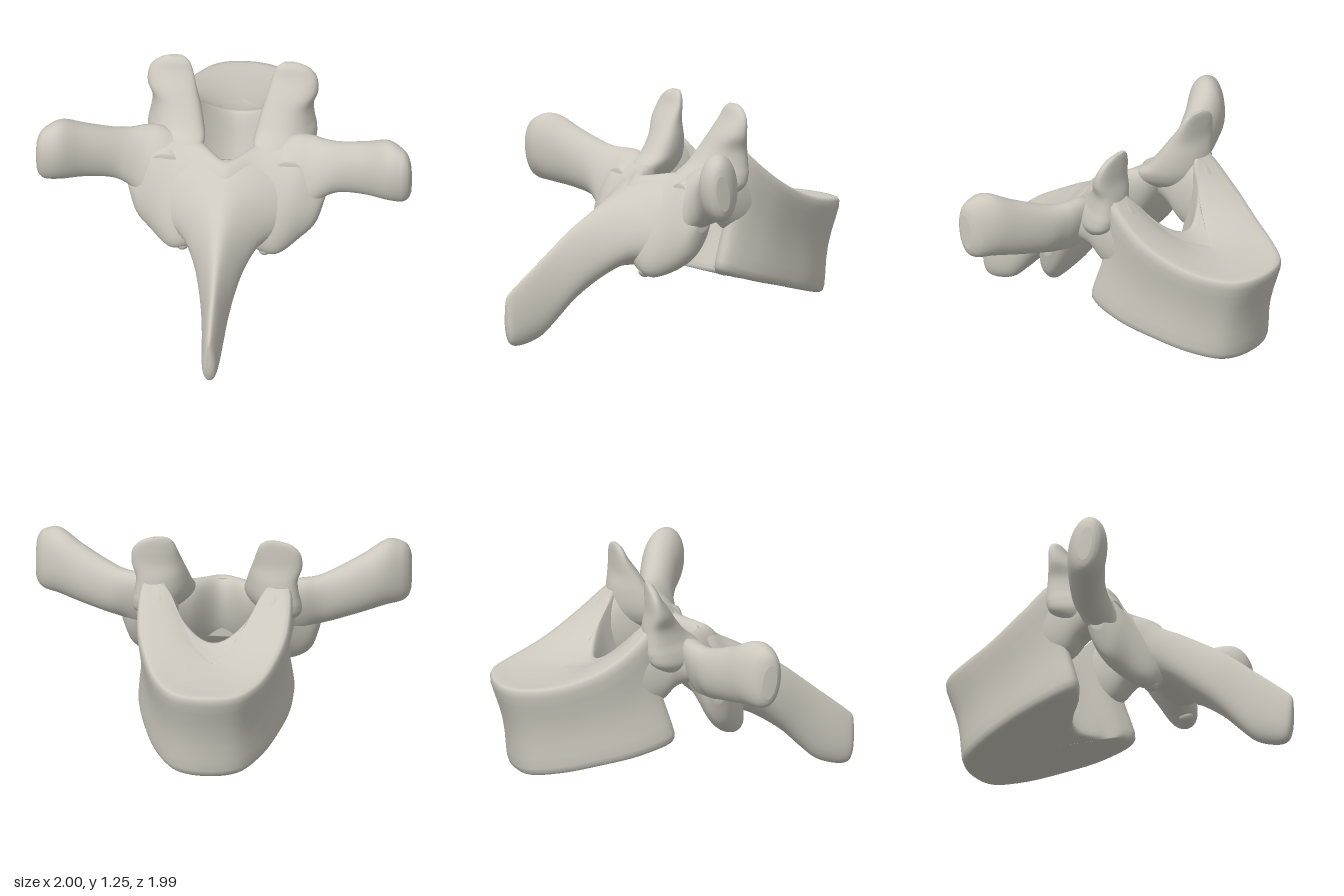
import * as THREE from 'three';

const bone = new THREE.MeshStandardMaterial({ color: 0xccc8be });
bone.name = 'bone';

// Closed skin over a list of point rings, with a centre point at each end
function skin(name, rings) {
  const n = rings[0].length, pos = [], idx = [];
  rings.forEach(r => r.forEach(p => pos.push(p.x, p.y, p.z)));
  for (let i = 0; i < rings.length - 1; i++) {
    for (let j = 0; j < n; j++) {
      const a = i * n + j, b = i * n + (j + 1) % n;
      idx.push(a, b, a + n, b, b + n, a + n);
    }
  }
  [0, rings.length - 1].forEach((i, end) => {
    const c = rings[i].reduce((s, p) => s.add(p), new THREE.Vector3()).divideScalar(n);
    const k = pos.length / 3;
    pos.push(c.x, c.y, c.z);
    for (let j = 0; j < n; j++) {
      const a = i * n + j, b = i * n + (j + 1) % n;
      if (end) idx.push(a, b, k); else idx.push(b, a, k);
    }
  });
  // Turn the faces outward whichever way the rings run
  const P = i => new THREE.Vector3(pos[i * 3], pos[i * 3 + 1], pos[i * 3 + 2]);
  let volume = 0;
  for (let i = 0; i < idx.length; i += 3) volume += P(idx[i]).dot(P(idx[i + 1]).cross(P(idx[i + 2])));
  if (volume < 0) idx.reverse();
  const g = new THREE.BufferGeometry();
  g.setAttribute('position', new THREE.Float32BufferAttribute(pos, 3));
  g.setIndex(idx);
  g.computeVertexNormals();
  const mesh = new THREE.Mesh(g, bone);
  mesh.name = name;
  return mesh;
}

// Smooth interpolation through rows of numbers
function refine(rows, steps = 7) {
  const out = [], at = i => rows[Math.min(Math.max(i, 0), rows.length - 1)];
  for (let i = 0; i < rows.length - 1; i++) {
    for (let s = 0; s < steps; s++) {
      const t = s / steps, t2 = t * t, t3 = t2 * t;
      out.push(rows[i].map((b, k) => {
        const a = at(i - 1)[k], c = at(i + 1)[k], d = at(i + 2)[k];
        return b + 0.5 * ((c - a) * t + (2 * a - 5 * b + 4 * c - d) * t2 + (3 * b - a - 3 * c + d) * t3);
      }));
    }
  }
  out.push(rows[rows.length - 1]);
  return out;
}

// Loft of rounded sections; frame(row) gives [centre, half axis u, half axis v]
function loft(name, rows, frame, { side = 1, power = 0.85, taper = 0 } = {}) {
  const rings = refine(rows).map(row => {
    const [c, u, v] = frame(row).map(a => new THREE.Vector3(...a));
    return Array.from({ length: 36 }, (_, j) => {
      const a = j / 36 * Math.PI * 2;
      const round = q => Math.sign(q) * Math.pow(Math.abs(q), power);
      const h = round(Math.sin(a)), w = round(Math.cos(a)) * (1 - taper * h);
      const p = c.clone().addScaledVector(u, w).addScaledVector(v, h);
      p.x *= side;
      return p;
    });
  });
  return skin(name, rings);
}

// Drum of the bone: a notched oval outline, leaning and waisted, rising to the pedicles
function vertebralBody() {
  const half = [[0, -1], [0.17, -0.96], [0.28, -0.82], [0.36, -0.62], [0.41, -0.42],
    [0.39, -0.23], [0.28, -0.24], [0.17, -0.36], [0, -0.43]];
  const loop = half.concat(half.slice(1, -1).reverse().map(([x, z]) => [-x, z]));
  const outline = new THREE.CatmullRomCurve3(loop.map(([x, z]) => new THREE.Vector3(x, 0, z)), true)
    .getPoints(96).slice(0, 96);
  const profile = [[0.02, 0], [0.35, 0], [0.7, 0], [0.9, 0], [0.96, 0.01], [0.99, 0.04], [1, 0.09], [0.985, 0.2],
    [0.96, 0.35], [0.95, 0.5], [0.96, 0.65], [0.985, 0.8], [1, 0.91], [0.99, 0.97], [0.96, 1], [0.9, 1],
    [0.8, 0.995], [0.7, 0.985], [0.5, 0.98], [0.35, 0.975], [0.2, 0.975], [0.02, 0.975]];
  const { smoothstep } = THREE.MathUtils;
  return skin('vertebralBody', profile.map(([s, t]) => outline.map(o => {
    const x = o.x * s, z0 = -0.62 + (o.z + 0.62) * s, f = (z0 + 1) / 0.78, wide = Math.abs(x);
    const low = 0.163 + 0.175 * f + 0.03 * f * f;
    const rise = 0.22 * Math.pow(Math.max(0, (z0 + 0.95) / 0.7), 2.5) * smoothstep(wide, 0, 0.3);
    const high = 0.675 + 0.06 * f + 0.06 * f * f + rise;
    const back = smoothstep(z0, -0.62, -0.42);
    const lean = 0.11 + 0.055 * back * (1 - smoothstep(wide, 0.15, 0.3)) + 0.025 * back * smoothstep(wide, 0.2, 0.35);
    return new THREE.Vector3(x, low + (high - low) * t, z0 + lean * (1 - t));
  })));
}

export function createModel() {
  const model = new THREE.Group();
  model.name = 'vertebra';
  model.add(vertebralBody());

  // Arch plate behind the canal: x, centre y z, long half axis y z, thickness half axis y z
  const arch = [[0, 0.66, 0.205, 0.2, -0.05, 0.03, 0.085], [0.15, 0.64, 0.155, 0.24, -0.13, 0.05, 0.1],
    [0.28, 0.625, 0.14, 0.265, -0.14, 0.05, 0.095], [0.4, 0.65, 0.11, 0.235, -0.085, 0.045, 0.085],
    [0.48, 0.64, 0.1, 0.15, -0.05, 0.03, 0.065], [0.525, 0.67, 0.09, 0.05, -0.02, 0.01, 0.035]];
  const mirrored = arch.slice(1).reverse().map(([x, ...r]) => [-x, ...r]);
  model.add(loft('lamina', mirrored.concat(arch),
    ([x, y, z, uy, uz, vy, vz]) => [[x, y, z], [0, uy, uz], [0, vy, vz]], { power: 0.95 }));

  // Long spine flaring out of the arch and sloping down to the front: z, top y, bottom y, half width
  const spine = [[0.14, 0.86, 0.52, 0.4], [0.2, 0.835, 0.45, 0.36], [0.27, 0.79, 0.4, 0.285],
    [0.36, 0.745, 0.385, 0.2], [0.48, 0.675, 0.315, 0.135],
    [0.6, 0.6, 0.225, 0.095], [0.7, 0.52, 0.125, 0.07], [0.79, 0.445, 0.045, 0.057],
    [0.9, 0.355, 0.005, 0.047], [0.965, 0.3, 0.008, 0.038], [0.99, 0.275, 0.05, 0.027], [1, 0.25, 0.11, 0.012]];
  model.add(loft('spinousProcess', spine,
    ([z, top, low, w]) => [[0, (top + low) / 2, z], [w, 0, 0], [0, (top - low) / 2, 0]],
    { taper: 0.3, power: 0.95 }));

  // Paired parts
  for (const [label, side] of [['left', 1], ['right', -1]]) {
    // Bridge from the body to the arch: z, centre x y, half width, half height
    const pedicle = [[-0.45, 0.3, 0.68, 0.05, 0.08], [-0.38, 0.305, 0.73, 0.075, 0.13],
      [-0.31, 0.31, 0.77, 0.085, 0.18], [-0.23, 0.31, 0.785, 0.095, 0.22], [-0.15, 0.31, 0.79, 0.1, 0.195],
      [-0.08, 0.315, 0.805, 0.1, 0.14], [0, 0.33, 0.8, 0.105, 0.115], [0.13, 0.33, 0.75, 0.1, 0.1]];
    model.add(loft(label + 'Pedicle', pedicle,
      ([z, x, y, w, h]) => [[x, y, z], [w, 0, 0], [0, h, 0]], { side, power: 0.95 }));

    // Upright facet blade, skewed along the canal wall: y, inner x, outer x, back z, front z
    const facet = [[0.76, 0.25, 0.38, -0.14, 0.06], [0.82, 0.18, 0.42, -0.23, 0.1], [0.88, 0.155, 0.425, -0.26, 0.07],
      [0.94, 0.16, 0.42, -0.265, 0], [1.02, 0.175, 0.42, -0.26, -0.06], [1.1, 0.195, 0.45, -0.245, -0.11],
      [1.18, 0.215, 0.445, -0.242, -0.165], [1.23, 0.235, 0.405, -0.24, -0.19], [1.255, 0.265, 0.345, -0.235, -0.21]];
    model.add(loft(label + 'SuperiorFacet', facet,
      ([y, a, b, c, d]) => [[(a + b) / 2, y, (c + d) / 2], [(b - a) / 2, 0, 0], [(c - d) * 0.22, 0, (d - c) / 2]],
      { side }));

    // Club-ended side wing: x, centre y z, half height, half depth, forward tilt of the top
    const wing = [[0.2, 0.73, 0.07, 0.12, 0.07, -0.04], [0.34, 0.745, 0.065, 0.185, 0.105, -0.06],
      [0.44, 0.76, 0.06, 0.18, 0.105, -0.05], [0.52, 0.79, 0.067, 0.15, 0.1, -0.02],
      [0.61, 0.82, 0.085, 0.145, 0.098, 0.01], [0.75, 0.865, 0.14, 0.16, 0.105, 0.02],
      [0.87, 0.905, 0.2, 0.18, 0.115, 0.02], [0.95, 0.9, 0.23, 0.165, 0.09, 0.02],
      [0.985, 0.895, 0.242, 0.135, 0.062, 0.02], [1, 0.89, 0.247, 0.09, 0.035, 0.02]];
    model.add(loft(label + 'TransverseProcess', wing,
      ([x, y, z, h, d, tilt]) => [[x, y, z], [0, h, tilt], [0, -0.02, d]], { side, power: 0.95 }));

    // Small nub under the lower facet
    const nub = new THREE.Mesh(new THREE.SphereGeometry(1, 20, 14), bone);
    nub.name = label + 'InferiorNub';
    nub.scale.set(0.035, 0.035, 0.04);
    nub.position.set(side * 0.22, 0.385, 0.27);
    model.add(nub);
  }
  return model;
}
